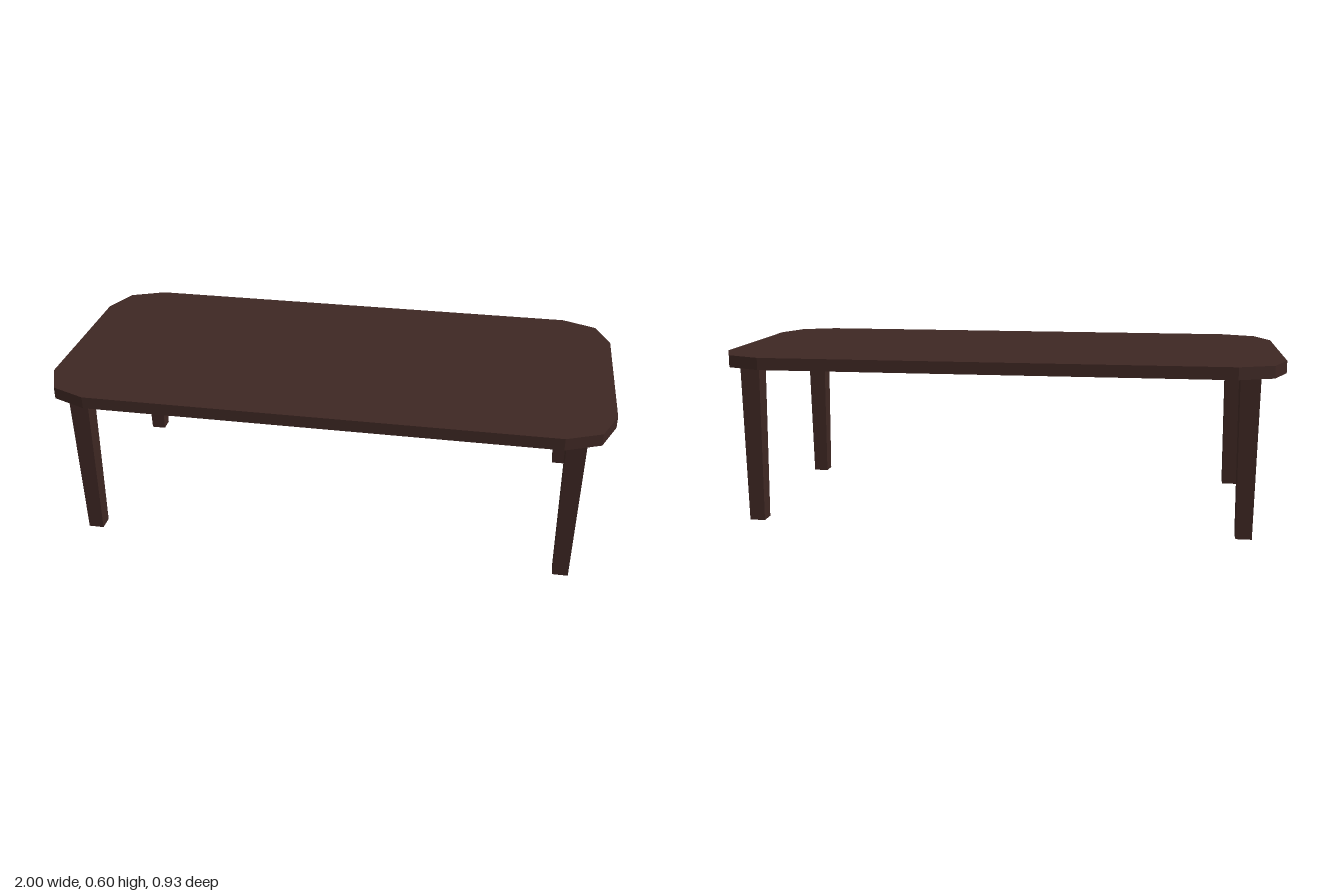
import * as THREE from 'three';

const HEIGHT = 0.603;
const UNDERSIDE = 0.56;

export function createModel() {
  const table = new THREE.Group();
  table.name = 'table';
  const wood = new THREE.MeshStandardMaterial({ color: 0x3e2723, flatShading: true });

  // Slab with two-step faceted corners, extruded upwards
  const corner = [[1, 0.287], [0.948, 0.413], [0.825, 0.465]];
  const flipped = [...corner].reverse();
  const outline = [
    ...corner,
    ...flipped.map(([x, y]) => [-x, y]),
    ...corner.map(([x, y]) => [-x, -y]),
    ...flipped.map(([x, y]) => [x, -y]),
  ].map(([x, y]) => new THREE.Vector2(x, y));
  const slab = new THREE.ExtrudeGeometry(new THREE.Shape(outline), {
    depth: HEIGHT - UNDERSIDE,
    bevelEnabled: false,
  });
  slab.rotateX(-Math.PI / 2).translate(0, UNDERSIDE, 0);
  const top = new THREE.Mesh(slab, wood);
  top.name = 'tableTop';
  table.add(top);

  // Square leg, narrowing towards the floor
  const legShape = new THREE.BoxGeometry(0.068, UNDERSIDE, 0.068);
  legShape.translate(0, UNDERSIDE / 2, 0);
  const pos = legShape.attributes.position;
  for (let i = 0; i < pos.count; i++) {
    const s = pos.getY(i) < 0.01 ? 0.81 : 1;
    pos.setXYZ(i, pos.getX(i) * s, pos.getY(i), pos.getZ(i) * s);
  }
  legShape.computeVertexNormals();

  // Four legs; the back pair sits slightly closer to the edge
  for (const [row, z] of [['front', 0.368], ['back', -0.389]]) {
    for (const [side, x] of [['Left', 0.869], ['Right', -0.869]]) {
      const leg = new THREE.Mesh(legShape, wood);
      leg.name = `${row}${side}Leg`;
      leg.position.set(x, 0, z);
      table.add(leg);
    }
  }
  return table;
}
